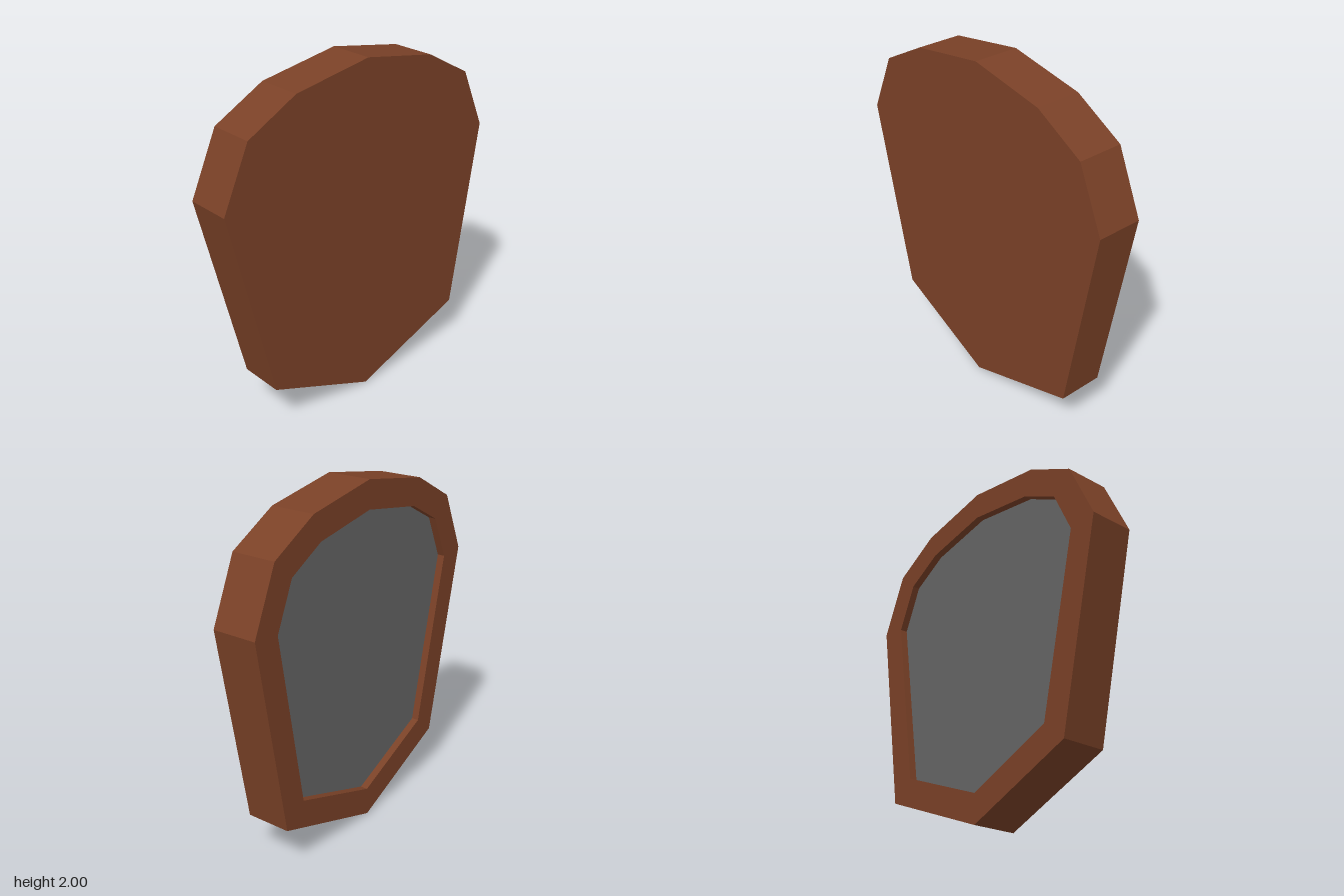
import * as THREE from 'three';

const HALF_DEPTH = 0.131; // half the frame thickness
const RECESS = 0.047; // how far the panel sits behind the rim
const RIM = 0.157; // rim width

// Counter-clockwise outline, from the bottom tip
const OUTLINE = [
  [0.01, 0], [0.735, 0.27], [0.922, 1.41], [0.765, 1.76], [0.47, 1.92],
  [0.01, 2], [-0.465, 1.92], [-0.765, 1.76], [-0.925, 1.41], [-0.66, 0.28],
].map(([x, y]) => new THREE.Vector2(x, y));

// Moves every edge inward by the same distance and joins them again
function inset(points, d) {
  const n = points.length;
  const normal = (a, b) => new THREE.Vector2(a.y - b.y, b.x - a.x).normalize();
  return points.map((p, i) => {
    const n1 = normal(points[(i + n - 1) % n], p);
    const n2 = normal(p, points[(i + 1) % n]);
    const mitre = n1.clone().add(n2).multiplyScalar(d / (1 + n1.dot(n2)));
    return p.clone().add(mitre);
  });
}

function extrude(shape, depth, z) {
  return new THREE.ExtrudeGeometry(shape, { depth, bevelEnabled: false }).translate(0, 0, z);
}

export function createModel() {
  const wood = new THREE.MeshStandardMaterial({ color: 0x7a4127 });
  wood.name = 'brown wood';
  const grey = new THREE.MeshStandardMaterial({ color: 0x656565 });
  grey.name = 'grey panel';

  const group = new THREE.Group();
  group.name = 'framedPanel';
  const add = (name, geometry, material) => {
    const mesh = new THREE.Mesh(geometry, material);
    mesh.name = name;
    group.add(mesh);
  };

  const inner = inset(OUTLINE, RIM);

  // Solid front slab
  const backOfSlab = -HALF_DEPTH + RECESS;
  add('frontSlab', extrude(new THREE.Shape(OUTLINE), HALF_DEPTH - backOfSlab, backOfSlab), wood);

  // Raised rim around the recess on the back
  const rim = new THREE.Shape(OUTLINE);
  rim.holes.push(new THREE.Path(inner));
  add('backRim', extrude(rim, RECESS, -HALF_DEPTH), wood);

  // Grey panel at the bottom of the recess
  add('backPanel', extrude(new THREE.Shape(inner), 0.004, backOfSlab - 0.004), grey);

  return group;
}
